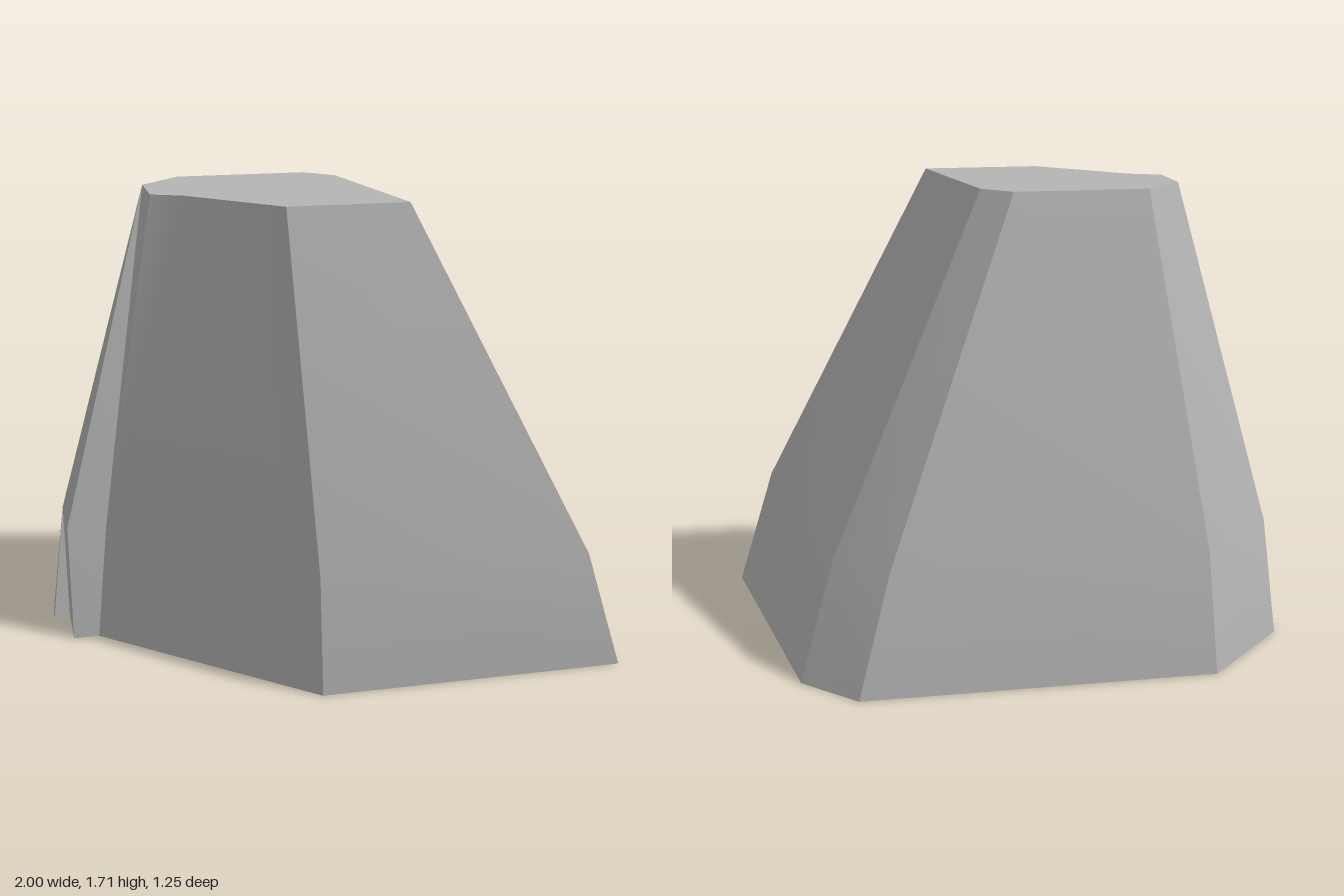
import * as THREE from 'three';
import { toCreasedNormals } from 'three/addons/utils/BufferGeometryUtils.js';

// A ring is a list of x,z pairs at one height; repeated points close the notch.
function ring(y, pairs) {
  return pairs.map(([x, z]) => new THREE.Vector3(x, y, z));
}

export function createModel() {
  const group = new THREE.Group();
  const stone = new THREE.MeshStandardMaterial({ color: 0xb4b4b4 });
  stone.name = 'stone grey';

  // Cross-sections from the flat top down to the base
  const rings = [
    ring(1.71, [[0.23, 0.42], [0.12, -0.21], [0.02, -0.31], [-0.46, -0.31], [-0.61, -0.15], [-0.61, -0.15],
      [-0.61, -0.15], [-0.61, -0.15], [-0.61, 0.07], [-0.5, 0.12], [-0.2, 0.42]]),
    ring(0.45, [[0.86, 0.625], [0.68, -0.4], [0.5, -0.58], [-0.64, -0.58], [-0.945, -0.28], [-0.945, -0.28],
      [-0.945, -0.28], [-0.945, -0.045], [-0.8, -0.045], [-0.8, -0.045], [-0.13, 0.625]]),
    ring(0, [[1, 0.625], [0.81, -0.44], [0.62, -0.625], [-0.67, -0.625], [-1, -0.3], [-1, -0.25],
      [-0.94, -0.25], [-0.94, -0.045], [-0.845, -0.045], [-0.845, -0.045], [-0.12, 0.625]]),
  ];

  const points = [];
  const triangle = (a, b, c) => {
    if (new THREE.Triangle(a, b, c).getArea() > 1e-6) points.push(a, b, c);
  };

  // Sides between neighbouring rings
  for (let r = 0; r < rings.length - 1; r++) {
    const upper = rings[r], lower = rings[r + 1];
    for (let i = 0; i < upper.length; i++) {
      const j = (i + 1) % upper.length;
      triangle(upper[i], lower[i], lower[j]);
      triangle(upper[i], lower[j], upper[j]);
    }
  }

  // Flat top and base
  const cap = (loop, up) => {
    const unique = loop.filter((p, i) => !p.equals(loop[(i + 1) % loop.length]));
    const flat = unique.map((p) => new THREE.Vector2(p.x, -p.z));
    for (const [a, b, c] of THREE.ShapeUtils.triangulateShape(flat, [])) {
      if (up) triangle(unique[a], unique[b], unique[c]);
      else triangle(unique[a], unique[c], unique[b]);
    }
  };
  cap(rings[0], true);
  cap(rings[rings.length - 1], false);

  const geometry = toCreasedNormals(new THREE.BufferGeometry().setFromPoints(points), 0.4);
  const rock = new THREE.Mesh(geometry, stone);
  rock.name = 'rock';
  group.add(rock);
  return group;
}
